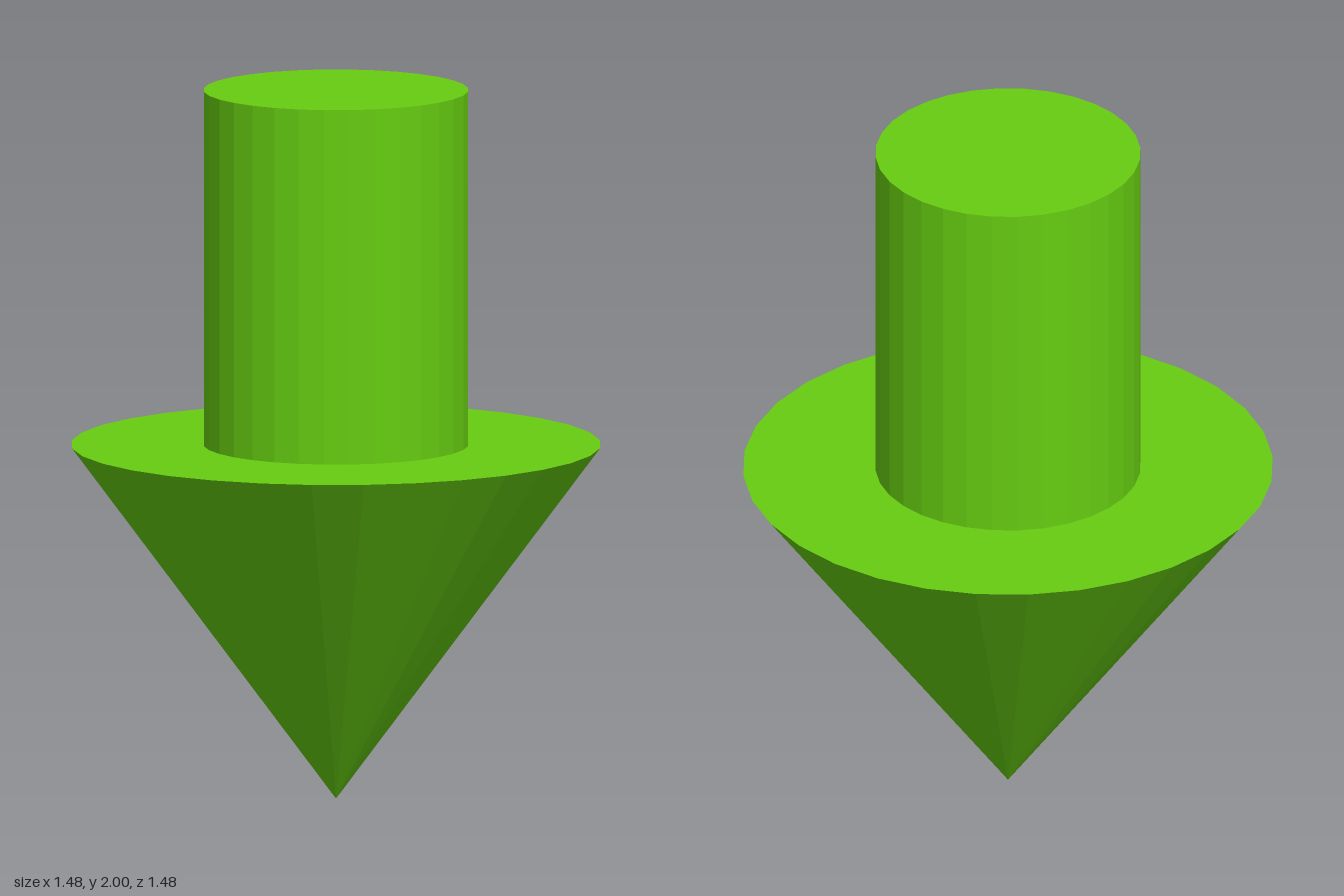
import * as THREE from 'three';

export function createModel() {
  const group = new THREE.Group();
  group.name = 'downArrow';
  const green = new THREE.MeshStandardMaterial({ color: 0x66cc11, flatShading: true });
  const sides = 32;

  const addPart = (name, geometry, y) => {
    const mesh = new THREE.Mesh(geometry, green);
    mesh.name = name;
    mesh.position.y = y;
    group.add(mesh);
  };

  // Upright shaft, standing on the flat back of the head
  addPart('shaft', new THREE.CylinderGeometry(0.37, 0.37, 1, sides), 1.5);

  // Cone-shaped head, turned over so its tip touches the ground
  addPart('arrowHead', new THREE.ConeGeometry(0.74, 1, sides).rotateX(Math.PI), 0.5);

  return group;
}
